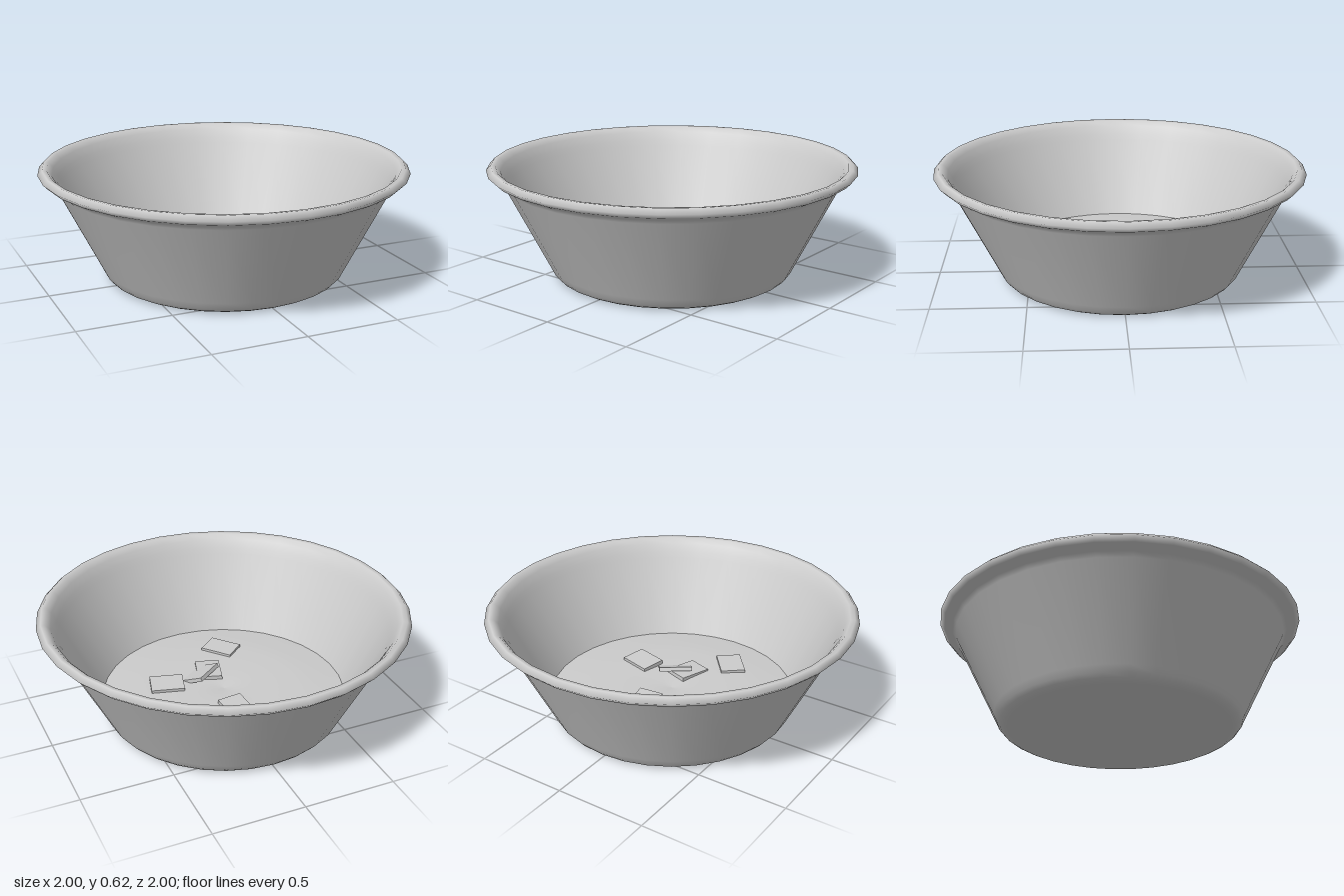
import * as THREE from 'three';

const material = new THREE.MeshStandardMaterial({ color: 0xcccccc, side: THREE.DoubleSide });

// Revolves a list of [radius, height] pairs around the y axis
function lathe(name, profile, segments) {
  const points = profile.map(([r, y]) => new THREE.Vector2(r, y));
  const mesh = new THREE.Mesh(new THREE.LatheGeometry(points, segments), material);
  mesh.name = name;
  return mesh;
}

export function createModel() {
  const group = new THREE.Group();
  group.name = 'filledBowl';

  // Thin flared shell: underside, outer wall, rolled rim, inner wall, inner floor
  group.add(lathe('bowl', [
    [0, 0], [0.6, 0], [0.62, 0.002], [0.645, 0.015], [0.663, 0.035],
    [0.68, 0.07], [0.91, 0.53], [0.93, 0.553],
    [0.975, 0.575], [1, 0.6], [0.975, 0.625], [0.95, 0.622],
    [0.925, 0.595], [0.9, 0.55], [0.885, 0.52],
    [0.66, 0.07], [0.635, 0.03], [0, 0.03],
  ], 32));

  // Contents: shallow mound with a small dimple in the middle
  group.add(lathe('contents', [
    [0.684, 0.098], [0.6, 0.106], [0.5, 0.115], [0.4, 0.12],
    [0.25, 0.12], [0.14, 0.118], [0.07, 0.114], [0, 0.106],
  ], 48));

  // Flat pieces scattered on the contents: x, y, z, yaw, tilt about the long side, roll
  const pieces = [
    [0.23, 0.125, -0.43, -0.62, 0, 0],
    [0.025, 0.13, -0.24, -1.46, 0, 0.06],
    [0.29, 0.13, 0.13, -0.26, -0.06, 0],
    [-0.15, 0.123, 0.385, -0.87, 0, 0],
    [0.015, 0.122, 0.185, 1.28, 0, 0.04],
    [0.08, 0.135, 0.15, 0.64, 0.42, 0],
  ];
  const pieceGeometry = new THREE.BoxGeometry(0.185, 0.022, 0.137);
  pieces.forEach(([x, y, z, yaw, tilt, roll], i) => {
    const piece = new THREE.Mesh(pieceGeometry, material);
    piece.name = `piece${i + 1}`;
    piece.position.set(x, y, z);
    piece.rotation.set(tilt, yaw, roll, 'YXZ');
    group.add(piece);
  });

  return group;
}
